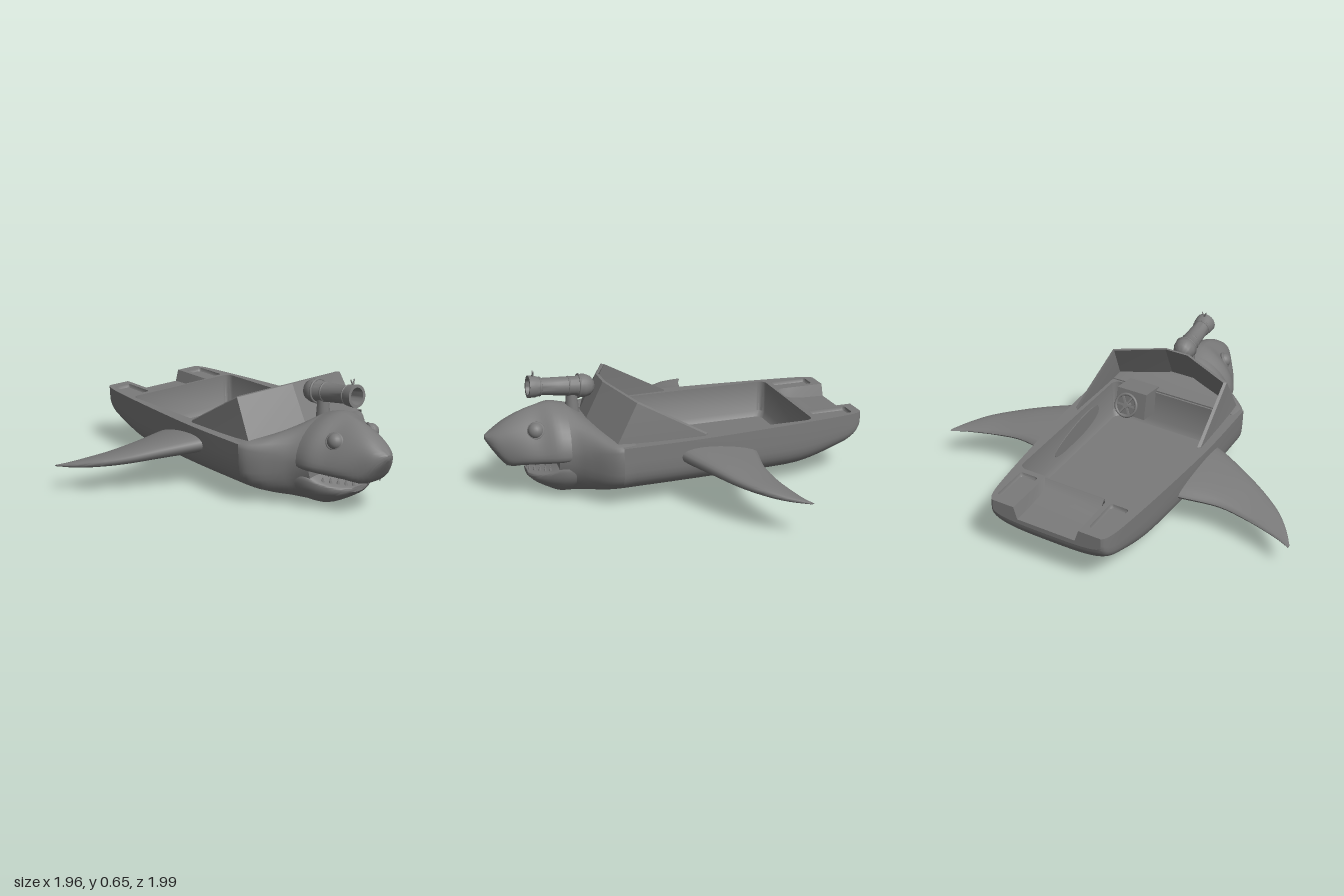
import * as THREE from 'three';
import { toCreasedNormals } from 'three/addons/utils/BufferGeometryUtils.js';

const grey = new THREE.MeshStandardMaterial({ color: 0x7a7a7a });
const grey2 = new THREE.MeshStandardMaterial({ color: 0x7a7a7a, side: THREE.DoubleSide });
const V = (x, y, z) => new THREE.Vector3(x, y, z);

function add(parent, name, geo, x = 0, y = 0, z = 0, mat = grey) {
  const m = new THREE.Mesh(geo, mat);
  m.name = name;
  m.position.set(x, y, z);
  parent.add(m);
  return m;
}

// Skin over a list of cross-section rings
function skin(rings, { closed = true, start = false, end = false, crease = 0.7 } = {}) {
  const n = rings[0].length, pos = [], idx = [];
  rings.forEach(r => r.forEach(p => pos.push(p.x, p.y, p.z)));
  for (let i = 0; i < rings.length - 1; i++) {
    for (let j = 0; j < (closed ? n : n - 1); j++) {
      const k = (j + 1) % n, a = i * n + j, b = a + n, c = (i + 1) * n + k, d = i * n + k;
      idx.push(a, b, c, a, c, d);
    }
  }
  const cap = (i, flip) => {
    const c = V(0, 0, 0);
    rings[i].forEach(p => c.addScaledVector(p, 1 / n));
    const ci = pos.length / 3;
    pos.push(c.x, c.y, c.z);
    for (let j = 0; j < n; j++) {
      const a = i * n + j, b = i * n + (j + 1) % n;
      flip ? idx.push(ci, b, a) : idx.push(ci, a, b);
    }
  };
  if (start) cap(0, false);
  if (end) cap(rings.length - 1, true);
  const g = new THREE.BufferGeometry();
  g.setAttribute('position', new THREE.Float32BufferAttribute(pos, 3));
  g.setIndex(idx);
  return toCreasedNormals(g, crease);
}

// Smoothly interpolate rows of numbers
function smoothRows(rows, steps) {
  const curves = rows[0].map((_, k) => new THREE.SplineCurve(rows.map((r, i) => new THREE.Vector2(i, r[k]))));
  const n = (rows.length - 1) * steps;
  return Array.from({ length: n + 1 }, (_, i) => curves.map(c => c.getPoint(i / n).y));
}

const pw = (v, n) => Math.sign(v) * Math.pow(Math.abs(v), n);

// Rounded section; row = [x, halfWidth, widestY, topY, bottomY, topPower, bottomPower]
function section([x, w, mid, t, b, nt, nb], count = 40) {
  return Array.from({ length: count }, (_, i) => {
    const a = i / count * Math.PI * 2, c = Math.cos(a), s = Math.sin(a), n = s > 0 ? nt : nb;
    return V(x, mid + (s > 0 ? t - mid : mid - b) * pw(s, n), w * pw(c, n));
  });
}

// Open hull section from one rim, under the keel, to the other rim
function hullSection([x, w, mid, t, b]) {
  const pts = [V(x, t, -w)];
  for (let i = 0; i <= 28; i++) {
    const a = Math.PI + i / 28 * Math.PI;
    pts.push(V(x, mid + (mid - b) * pw(Math.sin(a), 0.62), w * pw(Math.cos(a), 0.62)));
  }
  pts.push(V(x, t, w));
  return pts;
}

// Rounded rectangle in the x-z plane
function roundRect(x0, x1, zc, hz, r) {
  const pts = [], cx = (x0 + x1) / 2, hx = (x1 - x0) / 2;
  for (let q = 0; q < 4; q++) {
    const sx = q === 0 || q === 3 ? 1 : -1, sz = q < 2 ? 1 : -1;
    for (let i = 0; i <= 5; i++) {
      const a = (q + i / 5) * Math.PI / 2;
      pts.push([cx + sx * (hx - r) + r * Math.cos(a), zc + sz * (hz - r) + r * Math.sin(a)]);
    }
  }
  return pts;
}

function tub([x0, x1, zc, hz, r], top, floor, f) {
  const ring = (inset, y) => roundRect(x0 + inset, x1 - inset, zc, hz - inset, r).map(([x, z]) => V(x, y, z));
  return skin([ring(0, top), ring(f * 0.3, floor + f), ring(f, floor)], { end: true });
}

export function createModel() {
  const root = new THREE.Group();
  const boat = new THREE.Group();
  boat.name = 'sharkBoat';
  boat.position.z = -0.02;
  boat.rotation.x = 0.03;
  root.add(boat);
  const rim = 0.33;

  // Hull shell
  const hull = smoothRows([
    [-0.98, 0.3, 0.29, rim, 0.24], [-0.967, 0.315, 0.28, rim, 0.2], [-0.93, 0.33, 0.26, rim, 0.16],
    [-0.85, 0.345, 0.25, rim, 0.12], [-0.62, 0.37, 0.24, rim, 0.05], [-0.3, 0.397, 0.24, rim, 0.05],
    [0, 0.415, 0.25, rim, 0.05], [0.36, 0.417, 0.25, rim, 0.05]], 4);
  add(boat, 'hull', skin(hull.map(hullSection), { closed: false }), 0, 0, 0, grey2);

  // Transom with a central notch
  const notch = 0.18;
  const transom = new THREE.Shape(hullSection(hull[0]).map(p => new THREE.Vector2(p.z, p.y)));
  [[notch, rim], [notch - 0.02, 0.265], [-notch + 0.02, 0.265], [-notch, rim]].forEach(p => transom.lineTo(...p));
  add(boat, 'transom', new THREE.ShapeGeometry(transom).rotateY(-Math.PI / 2), -0.98, 0, 0, grey2);

  // Deck with cockpit and side hatch openings
  const deck = new THREE.Shape();
  deck.moveTo(-0.98, notch);
  hull.forEach(r => deck.lineTo(r[0], r[1]));
  [...hull].reverse().forEach(r => deck.lineTo(r[0], -r[1]));
  [[-0.98, -notch], [-0.7, -notch], [-0.7, notch]].forEach(p => deck.lineTo(...p));
  const cockpit = [-0.69, 0.28, 0, 0.338, 0.04];
  const hatches = [-1, 1].map(s => [-0.93, -0.72, s * 0.257, 0.05, 0.015]);
  [cockpit, ...hatches].forEach(o =>
    deck.holes.push(new THREE.Path(roundRect(...o).map(p => new THREE.Vector2(...p)))));
  add(boat, 'deck', new THREE.ShapeGeometry(deck).rotateX(-Math.PI / 2), 0, rim, 0, grey2);
  add(boat, 'cockpit', tub(cockpit, rim, 0.13, 0.03), 0, 0, 0, grey2);
  hatches.forEach(h => add(boat, 'sideHatch', tub(h, rim, rim - 0.02, 0.006), 0, 0, 0, grey2));

  // Stern step: a dished floor running out through the transom
  const step = [[-0.98, 0.265], [-0.87, 0.268], [-0.78, 0.277], [-0.73, 0.294], [-0.7, rim]].map(([x, y]) =>
    [V(x, rim, notch), V(x, y, notch - 0.02), V(x, y, -notch + 0.02), V(x, rim, -notch)]);
  add(boat, 'sternStep', skin(step, { closed: false }), 0, 0, 0, grey2);

  // Shoulders and neck
  const loft = (name, rows) =>
    add(boat, name, skin(smoothRows(rows, 4).map(r => section(r)), { start: true, end: true }));
  loft('neck', [
    [0.29, 0.417, 0.25, 0.338, 0.05, 0.25, 0.62], [0.37, 0.412, 0.25, 0.347, 0.048, 0.3, 0.62],
    [0.43, 0.375, 0.25, 0.367, 0.035, 0.5, 0.65], [0.5, 0.305, 0.25, 0.415, 0.018, 0.85, 0.75],
    [0.56, 0.252, 0.25, 0.455, 0.003, 1.1, 0.9], [0.64, 0.21, 0.25, 0.465, 0.012, 1.2, 1]]);
  // Upper and lower jaws
  loft('snout', [
    [0.56, 0.24, 0.25, 0.455, 0.2, 1.1, 0.6], [0.64, 0.232, 0.25, 0.475, 0.195, 1.15, 0.65],
    [0.72, 0.197, 0.245, 0.465, 0.187, 1.35, 0.7], [0.8, 0.16, 0.245, 0.44, 0.181, 1.25, 0.7],
    [0.88, 0.11, 0.255, 0.4, 0.174, 1, 0.7], [0.94, 0.066, 0.29, 0.36, 0.245, 0.9, 0.8],
    [0.98, 0.012, 0.322, 0.333, 0.31, 0.9, 0.9]]);
  loft('lowerJaw', [
    [0.56, 0.235, 0.16, 0.21, 0.002, 0.5, 1], [0.62, 0.215, 0.16, 0.195, 0.002, 0.5, 1],
    [0.68, 0.175, 0.14, 0.155, 0.03, 0.5, 0.95], [0.74, 0.115, 0.118, 0.132, 0.065, 0.5, 0.9],
    [0.775, 0.05, 0.11, 0.123, 0.095, 0.6, 0.9]]);

  // Teeth along both jaws
  const lowerTooth = new THREE.ConeGeometry(0.012, 0.04, 6);
  const upperTooth = new THREE.ConeGeometry(0.01, 0.026, 6).rotateX(Math.PI);
  for (const s of [-1, 1]) {
    for (let i = 0; i < 5; i++) {
      const t = i / 4;
      add(boat, 'lowerTooth', lowerTooth, 0.675 + 0.085 * t, 0.162 - 0.025 * t, s * (0.145 - 0.125 * t));
      add(boat, 'upperTooth', upperTooth, 0.7 + 0.18 * t, 0.192 - 0.014 * t, s * (0.13 - 0.09 * t));
    }
    // Eyes with a raised lid
    add(boat, 'eye', new THREE.SphereGeometry(0.041, 20, 14), 0.737, 0.368, s * 0.118);
    const lid = add(boat, 'eyelid', new THREE.TorusGeometry(0.038, 0.009, 8, 24), 0.737, 0.37, s * 0.125);
    lid.rotation.set(-s * 0.5, s * 0.35, 0);

    // Swept pectoral fins: z, leading x, trailing x, middle y, half thickness
    const fin = smoothRows([
      [0.34, 0.09, -0.37, 0.228, 0.066], [0.43, 0.06, -0.352, 0.225, 0.062], [0.6, -0.025, -0.32, 0.213, 0.05],
      [0.75, -0.11, -0.33, 0.195, 0.038], [0.87, -0.2, -0.355, 0.182, 0.027], [0.95, -0.29, -0.378, 0.172, 0.016],
      [1.01, -0.385, -0.405, 0.165, 0.004]], 4);
    const span = s > 0 ? 1 : 0.97;
    const rings = fin.map(([z, le, te, y, h]) => Array.from({ length: 24 }, (_, i) => {
      const a = i / 24 * Math.PI * 2, c = Math.cos(a), x = (le + te) / 2 + (le - te) / 2 * c;
      const k = -s * pw(Math.sin(a), 0.85) * (0.82 + 0.18 * c);
      return V(x, y + h * k + (le - te) * 0.05 * c, s * span * z);
    }));
    add(boat, 'fin', skin(rings, { start: true, end: true }));
  }

  // Wraparound windshield with thickness
  const mirror = pts => [...pts, ...[...pts].reverse().map(([x, y, z]) => [x, y, -z])];
  const low = mirror([[-0.08, 0.325, 0.375], [0.38, 0.335, 0.366], [0.475, 0.365, 0.07]]);
  const high = mirror([[-0.08, 0.338, 0.375], [0.27, 0.535, 0.345], [0.37, 0.572, 0.07]]);
  const inner = pts => pts.map(([x, y, z]) => V(x - 0.015, y, z * 0.96));
  const outer = pts => pts.map(p => V(...p));
  add(boat, 'windshield', skin([outer(low), outer(high), inner(high), inner(low)],
    { closed: false, crease: 0.3 }), 0, 0, 0, grey2);

  // Helm console and steering wheel
  add(boat, 'console', new THREE.BoxGeometry(0.15, 0.15, 0.18), 0.235, 0.285, -0.17).rotation.z = -0.15;
  const wheel = new THREE.Group();
  wheel.name = 'steeringWheel';
  wheel.position.set(0.125, 0.3, -0.18);
  wheel.rotation.set(0, Math.PI / 2, -0.4, 'ZYX');
  boat.add(wheel);
  add(wheel, 'wheelRim', new THREE.TorusGeometry(0.062, 0.008, 8, 28));
  add(wheel, 'wheelHub', new THREE.CylinderGeometry(0.016, 0.016, 0.06, 12).rotateX(Math.PI / 2), 0, 0, 0.02);
  for (let i = 0; i < 3; i++) {
    add(wheel, 'wheelSpoke', new THREE.BoxGeometry(0.12, 0.01, 0.008)).rotation.z = i * Math.PI / 3;
  }

  // Deck cannon on its post
  add(boat, 'cannonPost', new THREE.CylinderGeometry(0.028, 0.04, 0.13, 12), 0.52, 0.455, 0);
  const cannon = new THREE.Group();
  cannon.name = 'cannon';
  cannon.position.set(0.4, 0.535, 0);
  cannon.rotation.set(0, 0.04, -Math.PI / 2 + 0.1, 'YZX');
  boat.add(cannon);
  const profile = [[0, 0], [0.03, 0.006], [0.05, 0.025], [0.061, 0.055], [0.06, 0.08], [0.05, 0.1], [0.047, 0.2],
    [0.044, 0.28], [0.055, 0.315], [0.057, 0.35], [0.042, 0.35], [0.036, 0.27], [0, 0.27]];
  add(cannon, 'barrel', toCreasedNormals(
    new THREE.LatheGeometry(profile.map(p => new THREE.Vector2(...p)), 28), 0.8), 0, 0, 0, grey2);
  for (const [y, r] of [[0.085, 0.058], [0.14, 0.046], [0.29, 0.045]]) {
    add(cannon, 'barrelBand', new THREE.TorusGeometry(r, 0.006, 8, 28).rotateX(Math.PI / 2), 0, y, 0);
  }
  for (const s of [-1, 1]) {
    add(cannon, 'sightProng', new THREE.CylinderGeometry(0.003, 0.005, 0.034, 6).rotateZ(Math.PI / 2),
      -0.066, 0.328, s * 0.006).rotation.y = s * 0.4;
  }
  return root;
}
